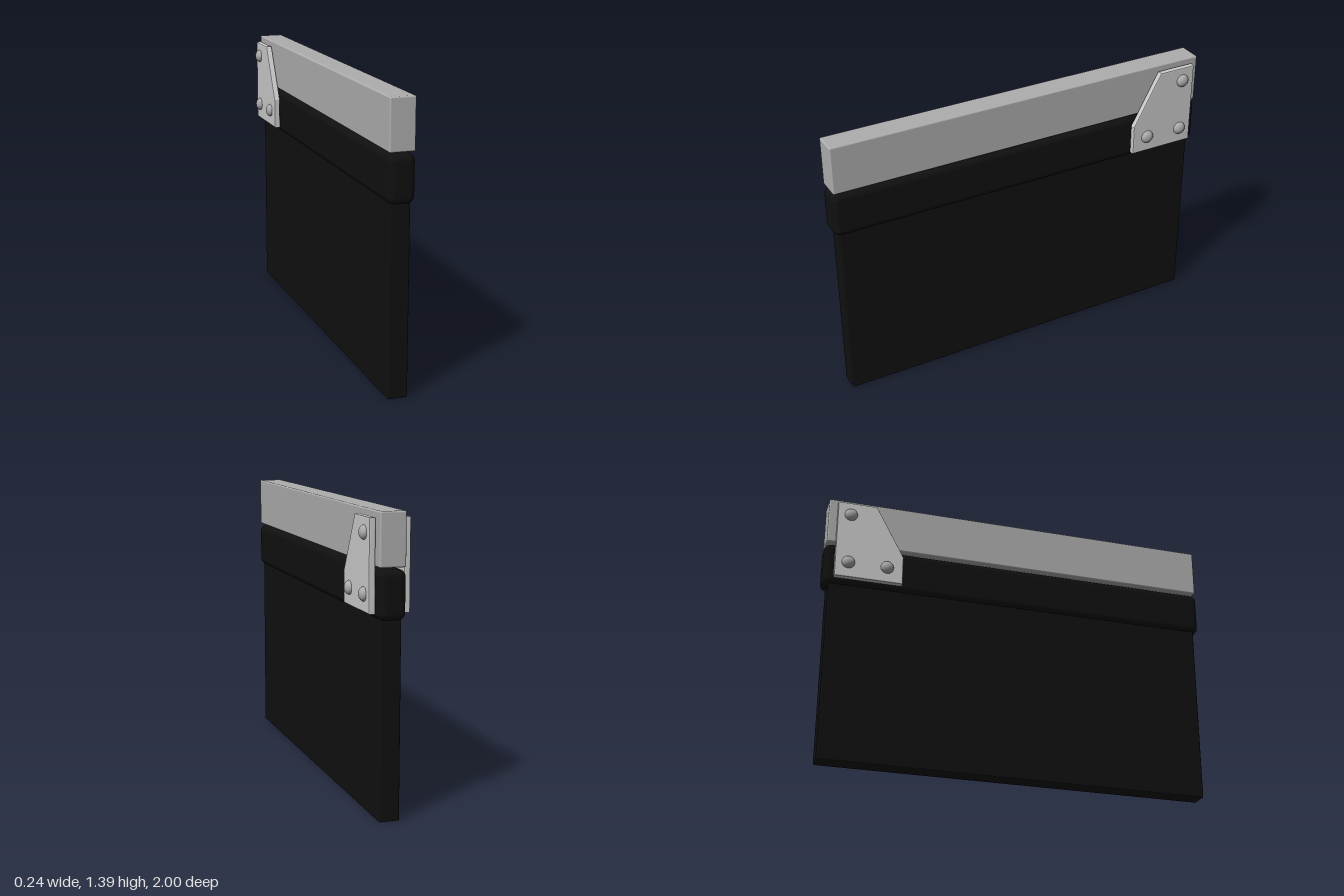
import * as THREE from 'three';
import { RoundedBoxGeometry } from 'three/addons/geometries/RoundedBoxGeometry.js';

const black = new THREE.MeshStandardMaterial({ color: 0x101010 });
const stickGrey = new THREE.MeshStandardMaterial({ color: 0xaeaeae });
const plateGrey = new THREE.MeshStandardMaterial({ color: 0xcccccc });
const rivetGrey = new THREE.MeshStandardMaterial({ color: 0xaaaaaa });

// Rounded bar spanning y0..y1, centred on x and z
function bar(name, width, y0, y1, length, radius, material) {
  const geometry = new RoundedBoxGeometry(width, y1 - y0, length, 4, radius);
  const mesh = new THREE.Mesh(geometry, material);
  mesh.name = name;
  mesh.position.y = (y0 + y1) / 2;
  return mesh;
}

// Hinge plate outline as (z, y), drawn inside its bevel
function plateGeometry() {
  const outline = [[-0.945, 0.945], [-0.615, 0.945], [-0.615, 1.09], [-0.758, 1.353], [-0.945, 1.353]];
  const shape = new THREE.Shape(outline.map(([z, y]) => new THREE.Vector2(z, y)));
  const geometry = new THREE.ExtrudeGeometry(shape, {
    depth: 0.02, bevelThickness: 0.005, bevelSize: 0.006, bevelSegments: 2,
  });
  geometry.translate(0, 0, -0.01);
  return geometry.rotateY(-Math.PI / 2);
}

// Low dome, its axis along +x
function rivetGeometry() {
  const profile = [new THREE.Vector2(0.033, -0.006)];
  for (let i = 0; i <= 8; i++) {
    const a = (i / 8) * Math.PI / 2;
    profile.push(new THREE.Vector2(0.033 * Math.cos(a), 0.024 * Math.sin(a)));
  }
  return new THREE.LatheGeometry(profile, 24).rotateZ(-Math.PI / 2);
}

export function createModel() {
  const group = new THREE.Group();
  group.name = 'clapperboard';

  // Slate and the two sticks
  group.add(bar('slate', 0.096, 0, 0.96, 1.945, 0.006, black));
  group.add(bar('lowerStick', 0.128, 0.912, 1.135, 2, 0.033, black));
  group.add(bar('upperStick', 0.122, 1.144, 1.388, 1.985, 0.008, stickGrey));

  // Hinge plates with three rivets on each side
  const plate = plateGeometry();
  const rivet = rivetGeometry();
  const rivetSpots = [[-0.885, 1.29], [-0.885, 1.02], [-0.69, 1.02]];
  for (const side of [1, -1]) {
    const hinge = new THREE.Group();
    hinge.name = side > 0 ? 'leftHinge' : 'rightHinge';
    const plateMesh = new THREE.Mesh(plate, plateGrey);
    plateMesh.name = 'hingePlate';
    plateMesh.position.x = side * 0.081;
    hinge.add(plateMesh);
    for (const [z, y] of rivetSpots) {
      const mesh = new THREE.Mesh(rivet, rivetGrey);
      mesh.name = 'rivet';
      mesh.position.set(side * 0.096, y, z);
      if (side < 0) mesh.rotation.y = Math.PI;
      hinge.add(mesh);
    }
    group.add(hinge);
  }
  return group;
}
